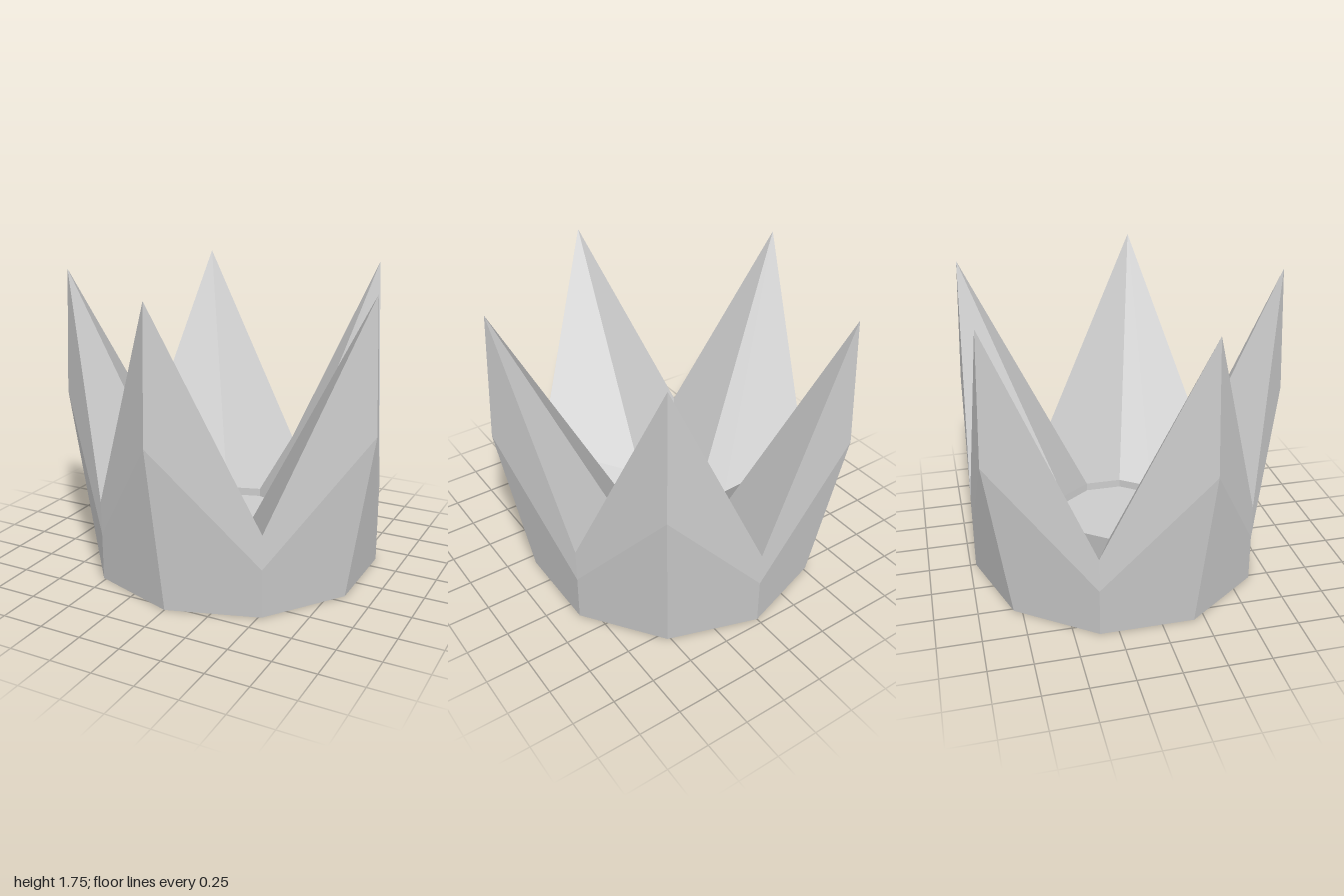
import * as THREE from 'three';

const SIDES = 10;
const CENTER_Z = -0.086;

// Ten-sided ring of points whose radius and height alternate between spikes and valleys
function ring(spikeR, spikeY, valleyR = spikeR, valleyY = spikeY) {
  return Array.from({ length: SIDES }, (_, i) => {
    const a = (i / SIDES) * Math.PI * 2;
    const [r, y] = i % 2 ? [valleyR, valleyY] : [spikeR, spikeY];
    return new THREE.Vector3(Math.sin(a) * r, y, Math.cos(a) * r);
  });
}

// Joins successive rings with facets; each four-cornered facet has one flat normal
function loftRings(rings) {
  const positions = [], normals = [];
  for (let k = 0; k < rings.length - 1; k++) {
    for (let i = 0; i < SIDES; i++) {
      const j = (i + 1) % SIDES;
      const a = rings[k][i], b = rings[k][j], c = rings[k + 1][j], d = rings[k + 1][i];
      const n = c.clone().sub(a).cross(d.clone().sub(b)).normalize();
      for (const p of [a, b, d, b, c, d]) {
        positions.push(p.x, p.y, p.z);
        normals.push(n.x, n.y, n.z);
      }
    }
  }
  const geometry = new THREE.BufferGeometry();
  geometry.setAttribute('position', new THREE.Float32BufferAttribute(positions, 3));
  geometry.setAttribute('normal', new THREE.Float32BufferAttribute(normals, 3));
  return geometry;
}

export function createModel() {
  const group = new THREE.Group();
  group.name = 'crown';
  const add = (name, geometry, options = {}) => {
    const material = new THREE.MeshStandardMaterial({ color: 0xcccccc, ...options });
    const mesh = new THREE.Mesh(geometry, material);
    mesh.name = name;
    mesh.position.z = CENTER_Z;
    group.add(mesh);
    return mesh;
  };

  // Spiked shell: underside, flared outer wall, spike band, then the inside slope
  const floorRim = ring(0.355, 0.285);
  add('spikedShell', loftRings([
    floorRim,
    ring(0.88, 0),
    ring(1.0515, 1.0, 0.88, 0.285),
    ring(1.016, 1.755, 0.88, 0.49),
    floorRim,
  ]));

  // Shallow sunken floor pan closing the middle
  const thin = { side: THREE.DoubleSide, flatShading: true };
  const panWall = new THREE.CylinderGeometry(0.355, 0.355, 0.05, SIDES, 1, true);
  add('floorPanWall', panWall, thin).position.y = 0.26;
  const panFloor = new THREE.CircleGeometry(0.355, SIDES, -Math.PI / 2).rotateX(-Math.PI / 2);
  add('floorPan', panFloor, thin).position.y = 0.235;

  return group;
}
